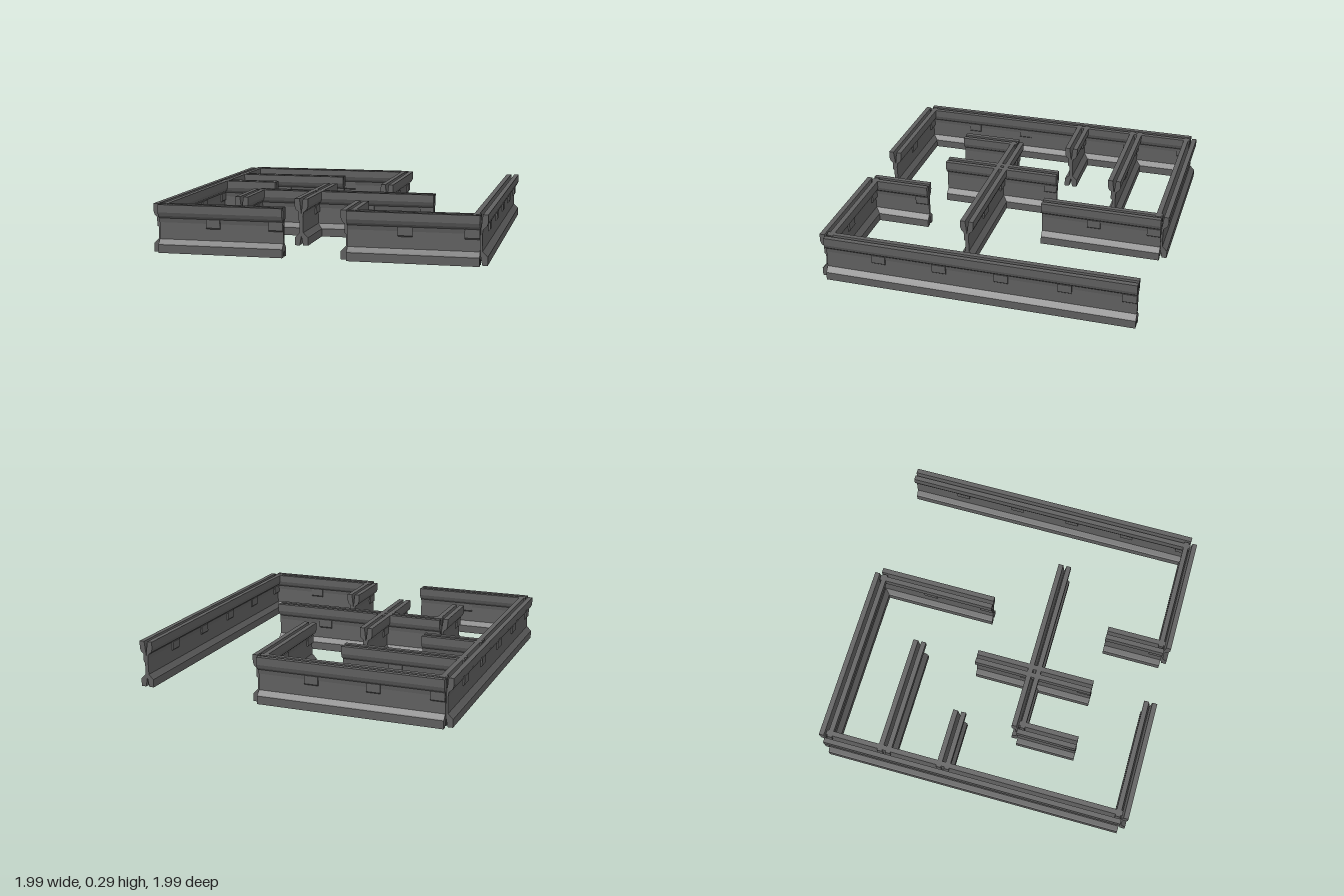
import * as THREE from 'three';

const STEP = 0.382;
const grid = (i) => -0.955 + i * STEP;

// Wall section: wide lips and foot, thin waist, V grooves above and below
const HALF = [
  [0.011, 0.29], [0.042, 0.29], [0.042, 0.243], [0.034, 0.222], [0.014, 0.206], [0.010, 0.18],
  [0.012, 0.08], [0.036, 0.055], [0.042, 0.05], [0.042, 0], [0.011, 0],
];
// Small bracket section with a chamfered underside
const TAB = [[0.006, 0.145], [0.021, 0.157], [0.021, 0.207], [0.006, 0.207]];

function extrude(points, length) {
  const shape = new THREE.Shape(points.map(([x, y]) => new THREE.Vector2(x, y)));
  return new THREE.ExtrudeGeometry(shape, { depth: length, bevelEnabled: false });
}

const mirror = (points) => points.map(([x, y]) => [-x, y]).reverse();

export function createModel() {
  const group = new THREE.Group();
  const stone = new THREE.MeshStandardMaterial({ color: 0x606060 });
  stone.name = 'dark grey';

  const profile = [[0, 0.2], ...HALF, [0, 0.06], ...mirror(HALF)];
  const tabRight = extrude(TAB, 0.085);
  const tabLeft = extrude(mirror(TAB), 0.085);

  // A wall of n modules starting at grid point (i, j), running along x or z
  function addWall(name, axis, i, j, n) {
    const wall = new THREE.Group();
    wall.name = name;
    const body = new THREE.Mesh(extrude(profile, n * STEP), stone);
    body.name = 'wallBody';
    wall.add(body);
    for (let k = 0; k < n; k++) {
      for (const [geometry, offset] of [[tabRight, 0.045], [tabLeft, STEP - 0.045]]) {
        const tab = new THREE.Mesh(geometry, stone);
        tab.name = 'wallBracket';
        tab.position.z = k * STEP + offset - 0.0425;
        wall.add(tab);
      }
    }
    wall.position.set(grid(i), 0, grid(j));
    if (axis === 'x') wall.rotation.y = Math.PI / 2;
    group.add(wall);
  }

  // Outer walls
  addWall('outerWallRight', 'z', 0, 0, 5);
  addWall('outerWallLeft', 'z', 5, 0, 5);
  addWall('outerWallBack', 'x', 0, 0, 3);
  addWall('outerWallFrontRight', 'x', 0, 5, 2);
  addWall('outerWallFrontLeft', 'x', 3, 5, 2);

  // Inner walls
  addWall('innerWallBack', 'z', 3, 0, 2);
  addWall('innerWallLongSpur', 'x', 0, 1, 2);
  addWall('innerWallShortSpur', 'x', 0, 2, 1);
  addWall('innerWallCrossLengthwise', 'z', 2, 2, 2);
  addWall('innerWallCrossSideways', 'x', 1, 3, 3);
  addWall('innerWallCrossReturn', 'z', 1, 3, 1);
  addWall('innerWallEntrance', 'z', 3, 4, 1);

  return group;
}
